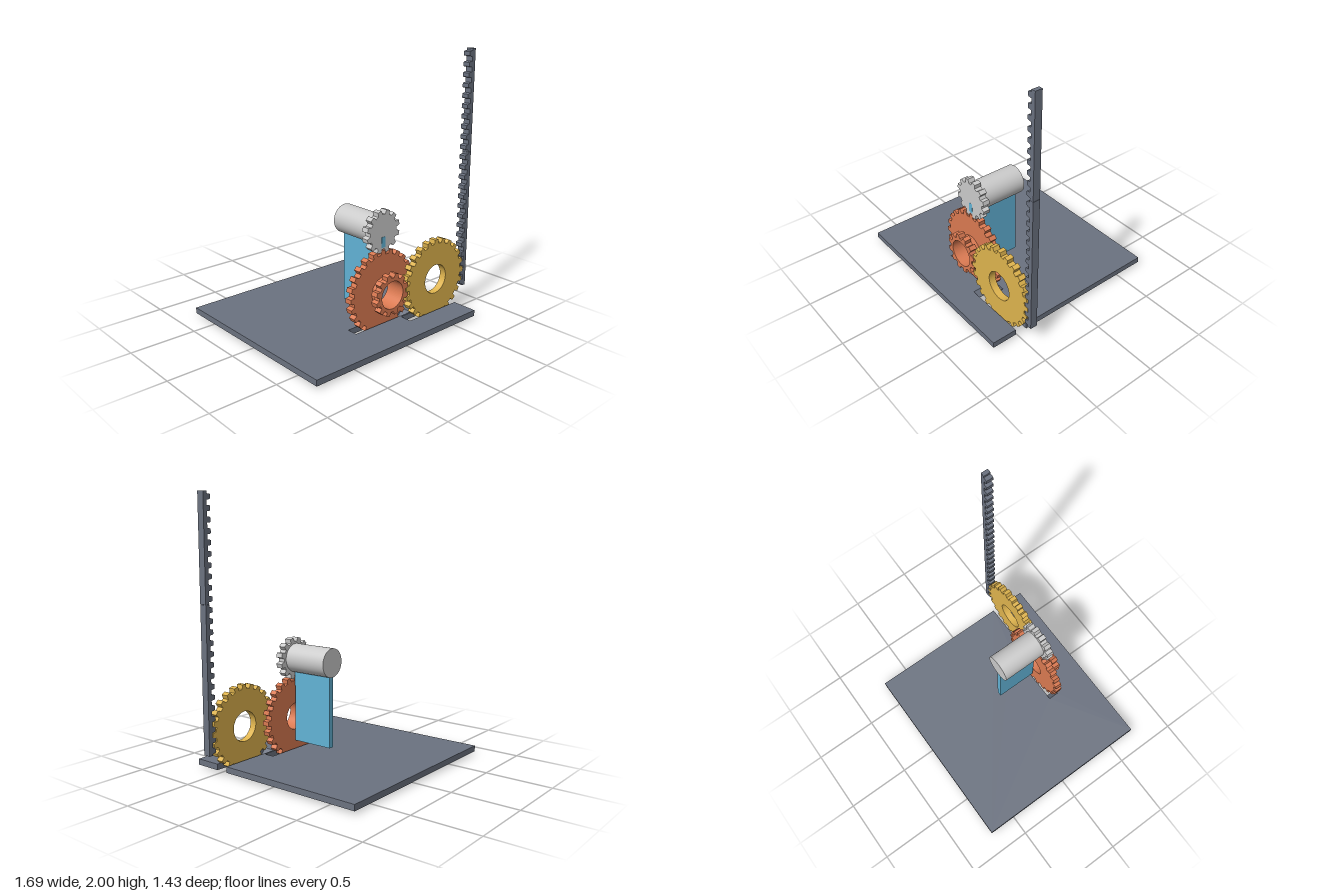
import * as THREE from 'three';

const mat = (color) => new THREE.MeshStandardMaterial({ color });
const slate = mat(0x6b7280), orange = mat(0xdb7a52), gold = mat(0xdfb44e);
const blue = mat(0x62b3d6), grey = mat(0xcccccc);

const GEAR_Y = 0.312, AXIS_X = 0.04, GOLD_X = 0.493, MOTOR_Y = 0.768;

function add(parent, name, geometry, material, x = 0, y = 0, z = 0) {
  const mesh = new THREE.Mesh(geometry, material);
  mesh.name = name;
  mesh.position.set(x, y, z);
  parent.add(mesh);
  return mesh;
}

const extrude = (shape, depth) =>
  new THREE.ExtrudeGeometry(shape, { depth, bevelEnabled: false, curveSegments: 32 });

function circleHole(shape, r) {
  shape.holes.push(new THREE.Path().absarc(0, 0, r, 0, Math.PI * 2, true));
  return shape;
}

// Spur gear lying in the xy plane; phase is the angle of one tooth centre
function gear(teeth, tip, root, hole, phase, depth) {
  const pts = [];
  const halfRoot = 0.022 / root, halfTip = 0.017 / tip;
  const step = (Math.PI * 2) / teeth;
  for (let i = 0; i < teeth; i++) {
    const a = phase + i * step;
    const corners = [
      [root, a - halfRoot], [tip, a - halfTip], [tip, a + halfTip], [root, a + halfRoot],
      [root, a + step / 2], // keeps the gap floor round
    ];
    for (const [r, t] of corners) pts.push(new THREE.Vector2(r * Math.cos(t), r * Math.sin(t)));
  }
  const shape = new THREE.Shape(pts);
  if (hole) circleHole(shape, hole);
  return extrude(shape, depth);
}

// Base plate with two gear slots whose ends slope to follow the gears
function basePlate() {
  const top = 0.065, bottom = 0.02;
  const slot = { x0: -0.232, x1: 0.322, z0: 0.33, z1: 0.412 };
  const notch = { x0: 0.21, z0: 0.425, z1: 0.518 };
  const right = 0.705, left = -0.845, back = -0.72, front = 0.715;
  const v = (x, z) => new THREE.Vector2(x, -z);
  const shape = new THREE.Shape([
    v(left, front), v(right, front), v(right, notch.z1), v(notch.x0, notch.z1),
    v(notch.x0, notch.z0), v(right, notch.z0), v(right, back), v(left, back),
  ]);
  shape.holes.push(new THREE.Path([
    v(slot.x0, slot.z0), v(slot.x1, slot.z0), v(slot.x1, slot.z1), v(slot.x0, slot.z1),
  ]));
  const geo = extrude(shape, top - bottom);
  geo.rotateX(-Math.PI / 2).translate(0, bottom, 0);
  const p = geo.attributes.position;
  const shifts = [[slot.x0, 0.045], [slot.x1, -0.045], [notch.x0, 0.037]];
  for (let i = 0; i < p.count; i++) {
    if (p.getY(i) > bottom + 0.01) continue;
    const hit = shifts.find(([x]) => Math.abs(p.getX(i) - x) < 1e-4);
    if (hit) p.setX(i, hit[0] + hit[1]);
  }
  geo.computeVertexNormals();
  return geo;
}

// Rack section: bar from y0 to y1 with teeth on its -x side
function rackSection(y0, y1, depth) {
  const back = 0.842, face = 0.81, tip = 0.78, pitch = 0.0765;
  const pts = [[back, y0], [back, y1], [face, y1]];
  for (let i = 0; i < 24; i++) {
    const y = 1.963 - i * pitch;
    if (y > y1 || y < y0) continue;
    pts.push([face, y + 0.021], [tip + 0.006, y + 0.018], [tip, y + 0.014],
      [tip, y - 0.014], [tip + 0.006, y - 0.018], [face, y - 0.021]);
  }
  pts.push([face, y0]);
  return extrude(new THREE.Shape(pts.map(([x, y]) => new THREE.Vector2(x, y))), depth);
}

export function createModel() {
  const model = new THREE.Group();
  model.name = 'rackAndPinionLift';
  const thick = 0.055, rearZ = 0.345, frontZ = 0.445;

  add(model, 'basePlate', basePlate(), slate);

  // Rack in two stacked sections
  const rack = new THREE.Group();
  rack.name = 'rack';
  model.add(rack);
  add(rack, 'lowerRack', rackSection(0.17, 1.236, thick), slate, 0, 0, frontZ);
  add(rack, 'upperRack', rackSection(1.238, 2.0, thick), slate, 0, 0, frontZ);

  // Compound gear: large wheel behind, small pinion in front, hollow hub between
  const compound = new THREE.Group();
  compound.name = 'compoundGear';
  compound.position.set(AXIS_X, GEAR_Y, 0);
  model.add(compound);
  add(compound, 'largeWheel', gear(24, 0.312, 0.28, 0.105, 0, thick), orange, 0, 0, rearZ);
  add(compound, 'smallPinion', gear(12, 0.16, 0.13, 0.105, Math.PI / 12, thick), orange, 0, 0, frontZ);
  const ring = circleHole(new THREE.Shape().absarc(0, 0, 0.108, 0, Math.PI * 2), 0.105);
  add(compound, 'hub', extrude(ring, frontZ - rearZ - thick), orange, 0, 0, rearZ + thick);

  // Wheel that drives the rack
  add(model, 'rackWheel', gear(24, 0.312, 0.28, 0.113, 0, thick), gold, GOLD_X, GEAR_Y, frontZ);

  // Motor with its pinion
  const motor = new THREE.CylinderGeometry(0.109, 0.109, 0.355, 48).rotateX(Math.PI / 2);
  add(model, 'motor', motor, grey, AXIS_X, MOTOR_Y, 0.1675);
  add(model, 'motorPinion', gear(12, 0.16, 0.13, 0, Math.PI / 12, thick), grey, AXIS_X, MOTOR_Y - 0.005, rearZ);

  // Upright plate carrying the motor, and the key showing in the pinion face
  add(model, 'motorSupport', new THREE.BoxGeometry(0.04, 0.58, 0.335), blue, AXIS_X, 0.415, 0.1675);
  add(model, 'pinionKey', new THREE.BoxGeometry(0.038, 0.08, 0.05), blue, AXIS_X, 0.685, 0.376);
  return model;
}
